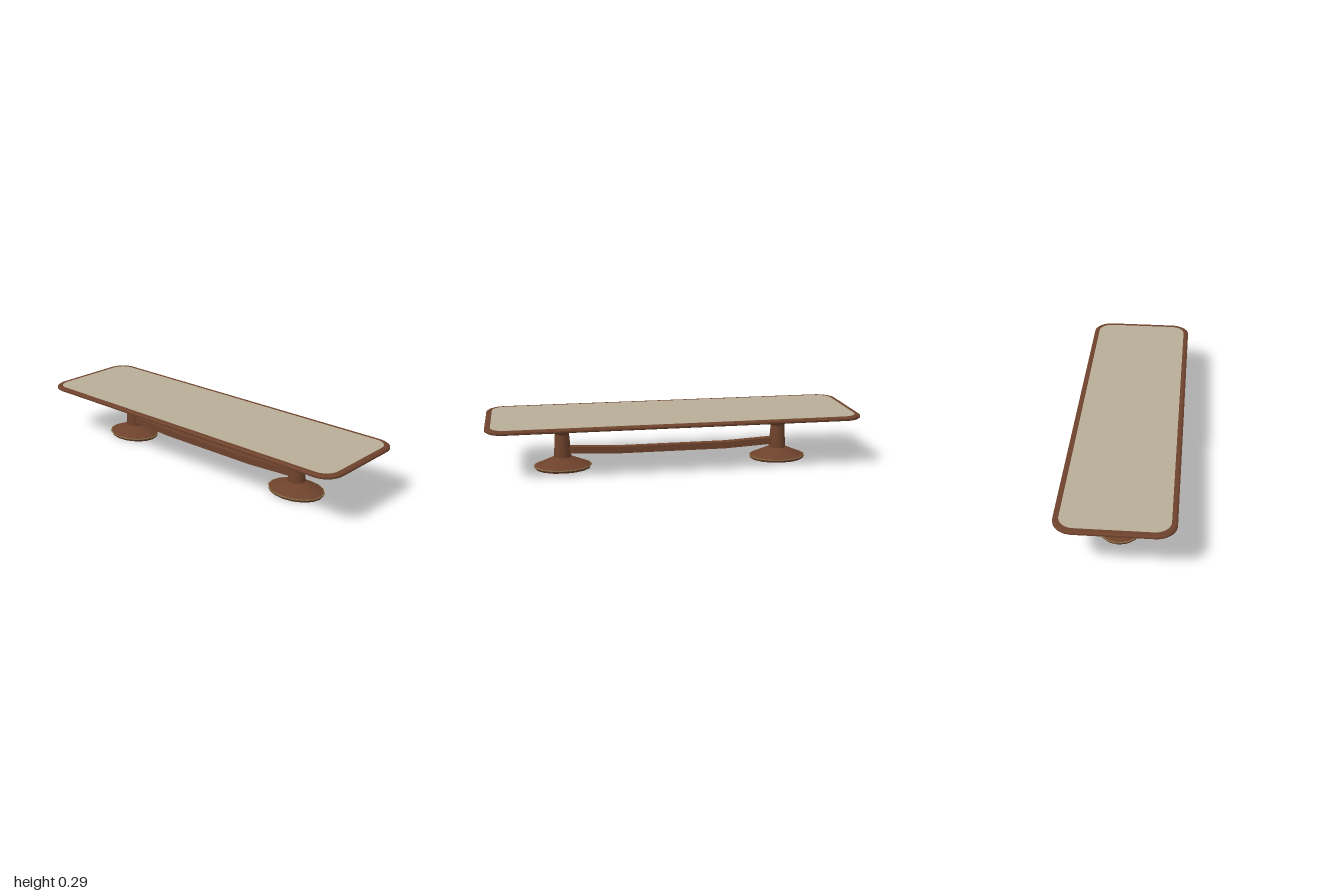
import * as THREE from 'three';

const wood = new THREE.MeshStandardMaterial({ color: 0x6e422c });
wood.name = 'walnut wood';
const inlayColour = new THREE.MeshStandardMaterial({ color: 0xb8ae98 });
inlayColour.name = 'pale stone inlay';
const brass = new THREE.MeshStandardMaterial({ color: 0x8c7448 });
brass.name = 'aged brass';

function part(name, geometry, material) {
  const mesh = new THREE.Mesh(geometry, material);
  mesh.name = name;
  return mesh;
}

function roundedRect(halfW, halfD, r) {
  const s = new THREE.Shape();
  s.absarc(halfW - r, halfD - r, r, 0, Math.PI / 2);
  s.absarc(-halfW + r, halfD - r, r, Math.PI / 2, Math.PI);
  s.absarc(-halfW + r, -halfD + r, r, Math.PI, Math.PI * 1.5);
  s.absarc(halfW - r, -halfD + r, r, Math.PI * 1.5, Math.PI * 2);
  s.closePath();
  return s;
}

// Flat-faced turned solid with elliptical rings: each ring is [y, radiusX, radiusZ]
function ovalTurned(rings, sides = 16) {
  const g = new THREE.LatheGeometry(rings.map(([y, , rz]) => new THREE.Vector2(rz, y)), sides);
  const p = g.attributes.position;
  for (let i = 0; i < p.count; i++) {
    const [, rx, rz] = rings[i % rings.length];
    if (rz > 0) p.setX(i, p.getX(i) * rx / rz);
  }
  const flat = g.toNonIndexed();
  flat.computeVertexNormals();
  return flat;
}

// Slab lying flat with its lower face at y and chamfered edges
function slab(halfW, halfD, r, y, height, bevel, chamfer) {
  const g = new THREE.ExtrudeGeometry(roundedRect(halfW - bevel, halfD - bevel, r - bevel), {
    depth: height - 2 * chamfer, curveSegments: 5, bevelEnabled: bevel > 0,
    bevelSize: bevel, bevelThickness: chamfer, bevelSegments: 1,
  });
  g.rotateX(-Math.PI / 2);
  g.translate(0, y + chamfer, 0);
  return g;
}

function pedestal(x) {
  const group = new THREE.Group();
  group.name = x > 0 ? 'leftPedestal' : 'rightPedestal';
  group.position.x = x;
  group.add(
    part('foot', ovalTurned([[0, 0, 0], [0, 0.15, 0.117], [0.012, 0.157, 0.123]]), wood),
    part('footBand', ovalTurned([[0.012, 0.157, 0.124], [0.017, 0.157, 0.124], [0.017, 0.15, 0.118]]), brass),
    part('column', ovalTurned([
      [0.017, 0.153, 0.12], [0.062, 0.047, 0.044], [0.19, 0.038, 0.037],
      [0.243, 0.085, 0.065], [0.268, 0.155, 0.106],
    ]), wood),
  );
  return group;
}

export function createModel() {
  const model = new THREE.Group();
  model.name = 'longTable';

  // Table top with a thin inset panel
  model.add(part('tableTop', slab(1, 0.29, 0.1, 0.267, 0.02, 0.009, 0.006), wood));
  model.add(part('topInlay', slab(0.97, 0.262, 0.075, 0.286, 0.002, 0, 0), inlayColour));

  // Two oval pedestals
  for (const x of [-0.6, 0.6]) model.add(pedestal(x));

  // Sagging stretcher between the columns
  const path = [[-0.59, 0.102], [-0.3, 0.087], [0.3, 0.087], [0.59, 0.102]];
  const half = 0.018;
  const outline = [
    ...path.map(([x, y]) => new THREE.Vector2(x, y - half)),
    ...path.map(([x, y]) => new THREE.Vector2(x, y + half)).reverse(),
  ];
  const beam = new THREE.ExtrudeGeometry(new THREE.Shape(outline), { depth: 0.04, bevelEnabled: false });
  beam.translate(0, 0, -0.02);
  model.add(part('stretcher', beam, wood));

  return model;
}
